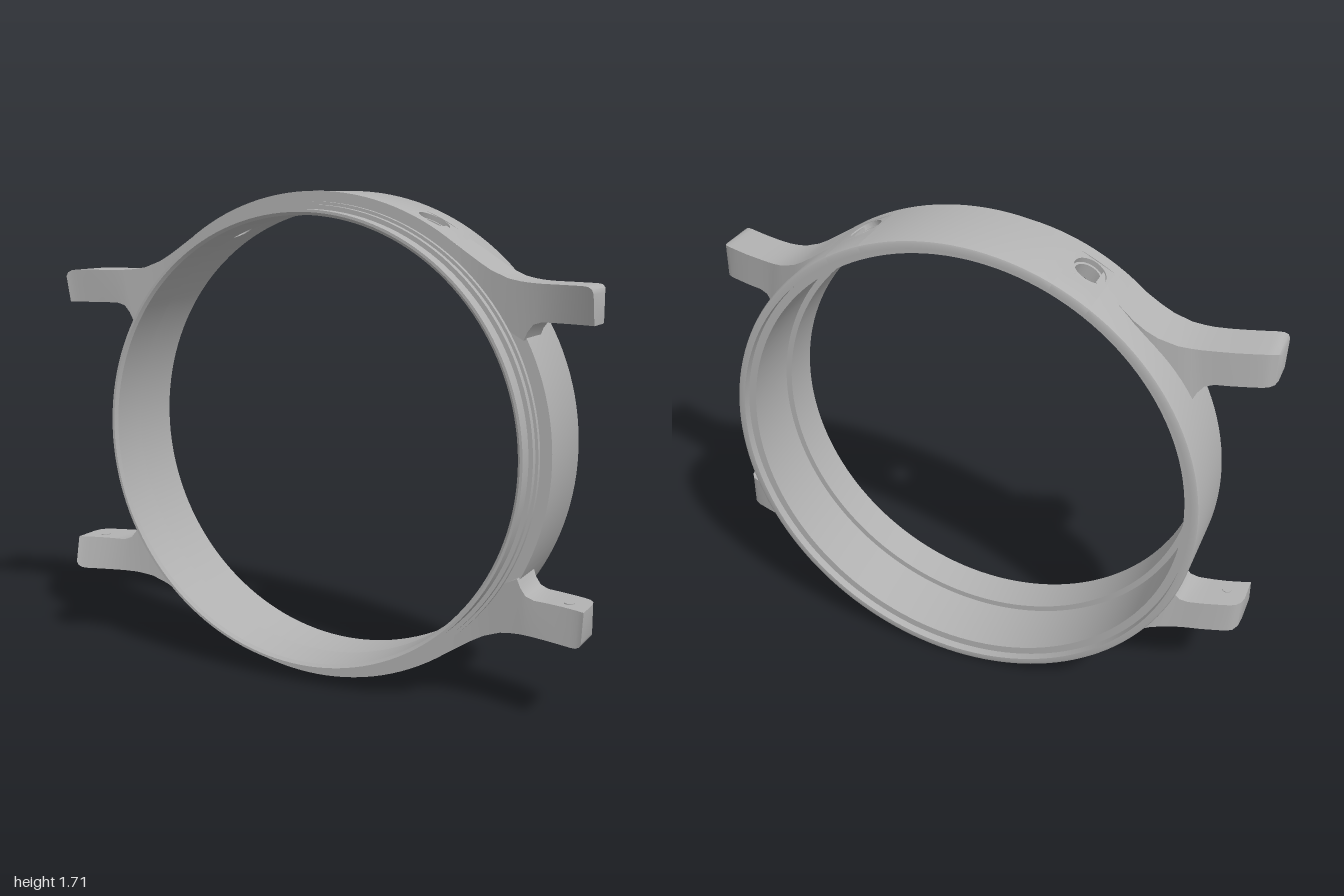
import * as THREE from 'three';
import { toCreasedNormals } from 'three/addons/utils/BufferGeometryUtils.js';

const R = 0.857;            // outer radius of the ring, also its centre height
const BORE = 0.80;          // bore radius in the middle band
const HOLE_ANGLE = 0.474;   // side holes, measured from the top
const HALF = 0.08;          // half angle of the band pierced by a hole
const Z0 = -0.09, Z1 = 0.05, HOLE_Z = -0.02;

export function createModel() {
  const steel = new THREE.MeshStandardMaterial({ color: 0xb2b2b2 });
  steel.name = 'steel grey';
  const model = new THREE.Group();
  const body = new THREE.Group();
  body.name = 'watchCase';
  body.position.y = R;
  model.add(body);

  const add = (name, geometry, crease = 0.5) => {
    const mesh = new THREE.Mesh(toCreasedNormals(geometry, crease), steel);
    mesh.name = name;
    body.add(mesh);
    return mesh;
  };

  // Ring profile as [radius, z]: outside from back to front, then the bore
  const backPart = [[R, Z0], [BORE, Z0], [BORE, -0.17], [0.828, -0.17], [0.828, -0.2],
    [0.846, -0.2], [0.853, -0.197], [R, -0.188], [R, Z0]];
  const frontPart = [[R, Z1], [R, 0.09], [0.805, 0.09], [0.805, 0.105], [0.822, 0.105],
    [0.822, 0.122], [0.812, 0.122], [0.812, 0.145], [0.797, 0.145], [0.797, 0.2],
    [0.788, 0.2], [0.778, 0.19], [0.778, Z1], [BORE, Z1], [R, Z1]];
  const fullRing = [...frontPart.slice(0, -1), ...backPart.slice(1, -1), [R, Z1]];

  // Sweep a profile about z; the angle runs from the bottom through +x
  const arc = (name, profile, start, length) => {
    const points = profile.map(([r, z]) => new THREE.Vector2(r, z));
    const segments = Math.max(4, Math.ceil(length / 0.045));
    add(name, new THREE.LatheGeometry(points, segments, start, length).rotateX(Math.PI / 2));
  };
  arc('ringTop', fullRing, Math.PI - HOLE_ANGLE + HALF, 2 * (HOLE_ANGLE - HALF));
  arc('ringMain', fullRing, Math.PI + HOLE_ANGLE + HALF, 2 * (Math.PI - HOLE_ANGLE - HALF));

  // Curved wall plate with a round hole, bent onto the ring
  const piercedWall = (name, angle, inner, outer, holeRadius) => {
    const w = HALF * R;
    const shape = new THREE.Shape([[-w, Z0], [w, Z0], [w, Z1], [-w, Z1]]
      .map(([x, y]) => new THREE.Vector2(x, y)));
    shape.holes.push(new THREE.Path().absarc(0, HOLE_Z, holeRadius, 0, Math.PI * 2, true));
    const geometry = new THREE.ExtrudeGeometry(shape,
      { depth: outer - inner, bevelEnabled: false, curveSegments: 32 });
    const p = geometry.attributes.position;
    for (let i = 0; i < p.count; i++) {
      const a = angle + p.getX(i) / R, r = inner + p.getZ(i);
      p.setXYZ(i, r * Math.sin(a), -r * Math.cos(a), p.getY(i));
    }
    add(name, geometry);
  };
  for (const side of [-1, 1]) {
    const angle = Math.PI + side * HOLE_ANGLE;
    arc('ringBehindHole', backPart, angle - HALF, 2 * HALF);
    arc('ringBeforeHole', frontPart, angle - HALF, 2 * HALF);
    piercedWall('sideHole', angle, BORE, 0.84, 0.047);
    piercedWall('sideHoleCounterbore', angle, 0.84, R, 0.057);
  }

  // Lug stations: outer x, outer y, inner x, inner y, front z, back z
  const stations = [
    [0.42, 0.742, 0.41, 0.700, 0.086, -0.05],
    [0.50, 0.696, 0.50, 0.645, 0.089, -0.075],
    [0.56, 0.656, 0.57, 0.585, 0.091, -0.09],
    [0.60, 0.630, 0.61, 0.545, 0.093, -0.09],
    [0.64, 0.607, 0.65, 0.500, 0.097, -0.082],
    [0.70, 0.584, 0.71, 0.415, 0.104, -0.065],
    [0.74, 0.577, 0.757, 0.390, 0.111, -0.052],
    [0.77, 0.574, 0.770, 0.418, 0.116, -0.043],
    [0.79, 0.573, 0.790, 0.443, 0.121, -0.037],
    [0.82, 0.572, 0.820, 0.452, 0.128, -0.029],
    [0.87, 0.572, 0.870, 0.452, 0.141, -0.017],
    [0.92, 0.572, 0.920, 0.452, 0.156, -0.002],
    [0.96, 0.572, 0.960, 0.452, 0.169, 0.011],
    [0.98, 0.570, 0.980, 0.452, 0.176, 0.022],
    [0.994, 0.562, 0.994, 0.452, 0.182, 0.042],
    [1.00, 0.548, 1.00, 0.452, 0.185, 0.07],
  ];
  const lugGeometry = (sx, sy) => {
    const positions = [], index = [];
    const quad = (a, b, c, d) => sx * sy > 0
      ? index.push(a, b, c, a, c, d) : index.push(a, c, b, a, d, c);
    stations.forEach(([ox, oy, ix, iy, zf, zb], i) => {
      // the front face leans back slightly on the inner edge
      const lean = 0.02 * THREE.MathUtils.smoothstep(ox, 0.7, 0.95);
      positions.push(sx * ox, sy * oy, zf, sx * ox, sy * oy, zb,
        sx * ix, sy * iy, zb, sx * ix, sy * iy, zf - lean);
      if (i === 0) return;
      const a = 4 * (i - 1), b = 4 * i;
      for (let k = 0; k < 4; k++) quad(a + k, b + k, b + (k + 1) % 4, a + (k + 1) % 4);
    });
    const tip = 4 * (stations.length - 1);
    quad(tip, tip + 3, tip + 2, tip + 1);
    quad(0, 1, 2, 3);
    const geometry = new THREE.BufferGeometry();
    geometry.setAttribute('position', new THREE.Float32BufferAttribute(positions, 3));
    geometry.setIndex(index);
    return geometry;
  };

  // Four mirrored lugs, each with a strap pin seat on its inner face
  for (const sx of [-1, 1]) for (const sy of [-1, 1]) {
    add(`${sy > 0 ? 'upper' : 'lower'}${sx > 0 ? 'Left' : 'Right'}Lug`, lugGeometry(sx, sy), 0.65);
    const seat = add('pinSeat', new THREE.CylinderGeometry(0.017, 0.017, 0.004, 20));
    seat.position.set(sx * 0.93, sy * 0.451, 0.09);
  }
  return model;
}
